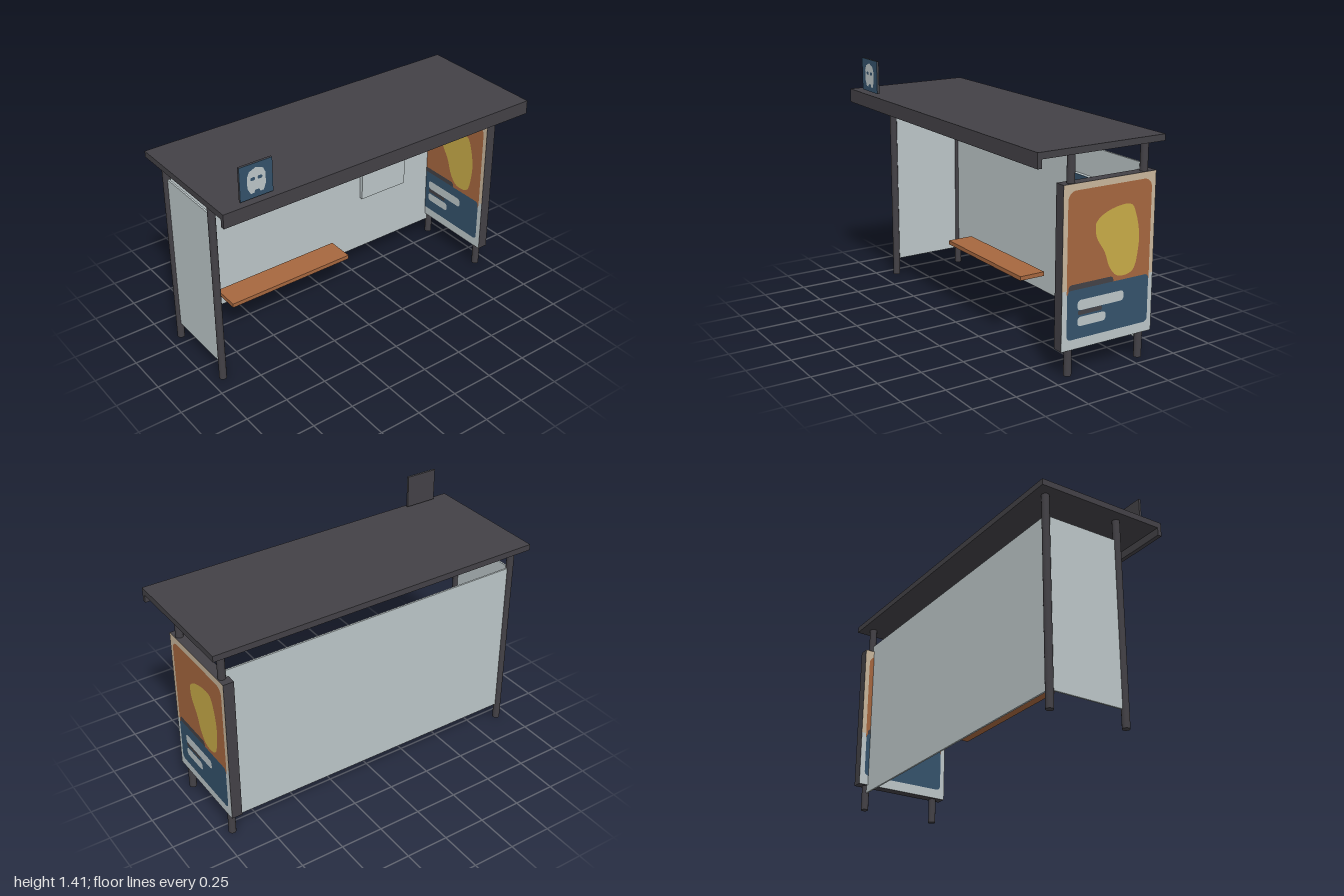
import * as THREE from 'three';

const mat = (name, color) => {
  const m = new THREE.MeshStandardMaterial({ color });
  m.name = name;
  return m;
};

export function createModel() {
  const metal = mat('dark metal', 0x434146);
  const glass = mat('pale glass', 0xbcc6c8);
  const orange = mat('burnt orange', 0xa6673f);
  const blue = mat('slate blue', 0x34526b);
  const yellow = mat('ochre yellow', 0xc8ab48);
  const tan = mat('tan', 0xc9b69c);

  const model = new THREE.Group();
  model.name = 'shelter';

  const add = (parent, name, geometry, material) => {
    const mesh = new THREE.Mesh(geometry, material);
    mesh.name = name;
    parent.add(mesh);
    return mesh;
  };
  // Box given by its low and high corners
  const box = (name, material, [x0, y0, z0], [x1, y1, z1]) => {
    const mesh = add(model, name, new THREE.BoxGeometry(x1 - x0, y1 - y0, z1 - z0), material);
    mesh.position.set((x0 + x1) / 2, (y0 + y1) / 2, (z0 + z1) / 2);
    return mesh;
  };
  // Rounded rectangle outline
  const rounded = (x0, y0, x1, y1, r) => {
    const s = new THREE.Shape();
    s.absarc(x1 - r, y0 + r, r, -Math.PI / 2, 0);
    s.absarc(x1 - r, y1 - r, r, 0, Math.PI / 2);
    s.absarc(x0 + r, y1 - r, r, Math.PI / 2, Math.PI);
    s.absarc(x0 + r, y0 + r, r, Math.PI, Math.PI * 1.5);
    s.closePath();
    return s;
  };
  // Flat printed shape, lifted by its layer number
  const print = (parent, name, shape, material, layer) => {
    add(parent, name, new THREE.ShapeGeometry(shape, 10), material).position.z = layer * 0.001;
  };

  // Roof with a deeper front edge
  box('roof', metal, [-1, 1.17, -0.385], [1, 1.205, 0.387]);
  box('roofFascia', metal, [-1, 1.125, 0.364], [1, 1.205, 0.388]);

  // Four round posts
  for (const x of [-0.925, 0.925]) {
    for (const z of [0.14, -0.315]) {
      add(model, 'post', new THREE.CylinderGeometry(0.021, 0.021, 1.17, 16), metal)
        .position.set(x, 0.585, z);
    }
  }

  // Glass walls
  box('backGlass', glass, [-0.91, 0.1, -0.32], [0.91, 1.05, -0.31]);
  box('sideGlass', glass, [-0.93, 0.1, -0.31], [-0.92, 1.05, 0.13]);

  // Bench
  box('benchSeat', orange, [-0.69, 0.215, -0.275], [0.12, 0.24, -0.11]);

  // Timetable board
  box('timetable', glass, [0.357, 0.457, -0.31], [0.685, 0.885, -0.288]);
  box('timetableHeader', blue, [0.357, 0.825, -0.29], [0.685, 0.885, -0.286]);

  // Poster case with the same print on both sides
  box('posterCase', metal, [0.89, 0.145, -0.375], [0.951, 1.01, 0.2]);
  const blob = [[-0.09, 0.76], [-0.08, 0.71], [-0.03, 0.63], [0, 0.55], [0.045, 0.495],
    [0.1, 0.485], [0.155, 0.505], [0.185, 0.62], [0.187, 0.7], [0.165, 0.8],
    [0.135, 0.855], [0.05, 0.858], [-0.05, 0.825], [-0.087, 0.79]]
    .map(([x, y]) => new THREE.Vector2(x, y));
  const blobShape = new THREE.Shape(new THREE.CatmullRomCurve3(
    blob.map((p) => new THREE.Vector3(p.x, p.y, 0)), true)
    .getPoints(48).slice(0, 48).map((p) => new THREE.Vector2(p.x, p.y)));

  for (const side of [1, -1]) {
    const poster = new THREE.Group();
    poster.name = side > 0 ? 'outerPoster' : 'innerPoster';
    poster.position.set(0.9205 + side * 0.0305, 0, -0.0875);
    poster.rotation.y = side * Math.PI / 2;
    print(poster, 'upperPaper', rounded(-0.2875, 0.46, 0.2875, 1.01, 0.001), tan, 1);
    print(poster, 'lowerPaper', rounded(-0.2875, 0.145, 0.2875, 0.465, 0.001), glass, 1.2);
    print(poster, 'upperField', rounded(-0.26, 0.4, 0.262, 0.975, 0.05), orange, 2);
    print(poster, 'shadowBand', rounded(-0.25, 0.44, 0.03, 0.492, 0.02), metal, 2.6);
    print(poster, 'roundShape', blobShape, yellow, 3);
    print(poster, 'lowerField', rounded(-0.258, 0.2, 0.258, 0.463, 0.025), blue, 3.6);
    print(poster, 'longBar', rounded(-0.193, 0.35, 0.098, 0.405, 0.02), glass, 4.4);
    print(poster, 'shadowBar', rounded(-0.19, 0.325, -0.04, 0.349, 0.01), metal, 4.2);
    print(poster, 'shortBar', rounded(-0.193, 0.265, -0.015, 0.315, 0.02), glass, 4.6);
    model.add(poster);
  }

  // Roof sign with a plain vehicle pictogram
  box('signBoard', metal, [-0.884, 1.217, 0.346], [-0.694, 1.407, 0.358]);
  box('signFace', blue, [-0.884, 1.217, 0.358], [-0.694, 1.407, 0.36]);
  const pictogram = new THREE.Group();
  pictogram.name = 'signPictogram';
  pictogram.position.set(-0.789, 1.31, 0.3605);
  const body = new THREE.Shape([[-0.035, -0.065], [-0.015, -0.065], [-0.01, -0.05], [0.015, -0.05],
    [0.02, -0.065], [0.04, -0.065], [0.053, -0.03], [0.053, 0.03], [0.04, 0.058], [0, 0.075],
    [-0.04, 0.058], [-0.053, 0.03], [-0.053, -0.03]].map(([x, y]) => new THREE.Vector2(x, y)));
  body.holes.push(rounded(-0.034, 0.005, -0.008, 0.023, 0.006), rounded(0.008, 0.005, 0.034, 0.023, 0.006));
  print(pictogram, 'pictogramBody', body, glass, 1);
  model.add(pictogram);

  return model;
}
